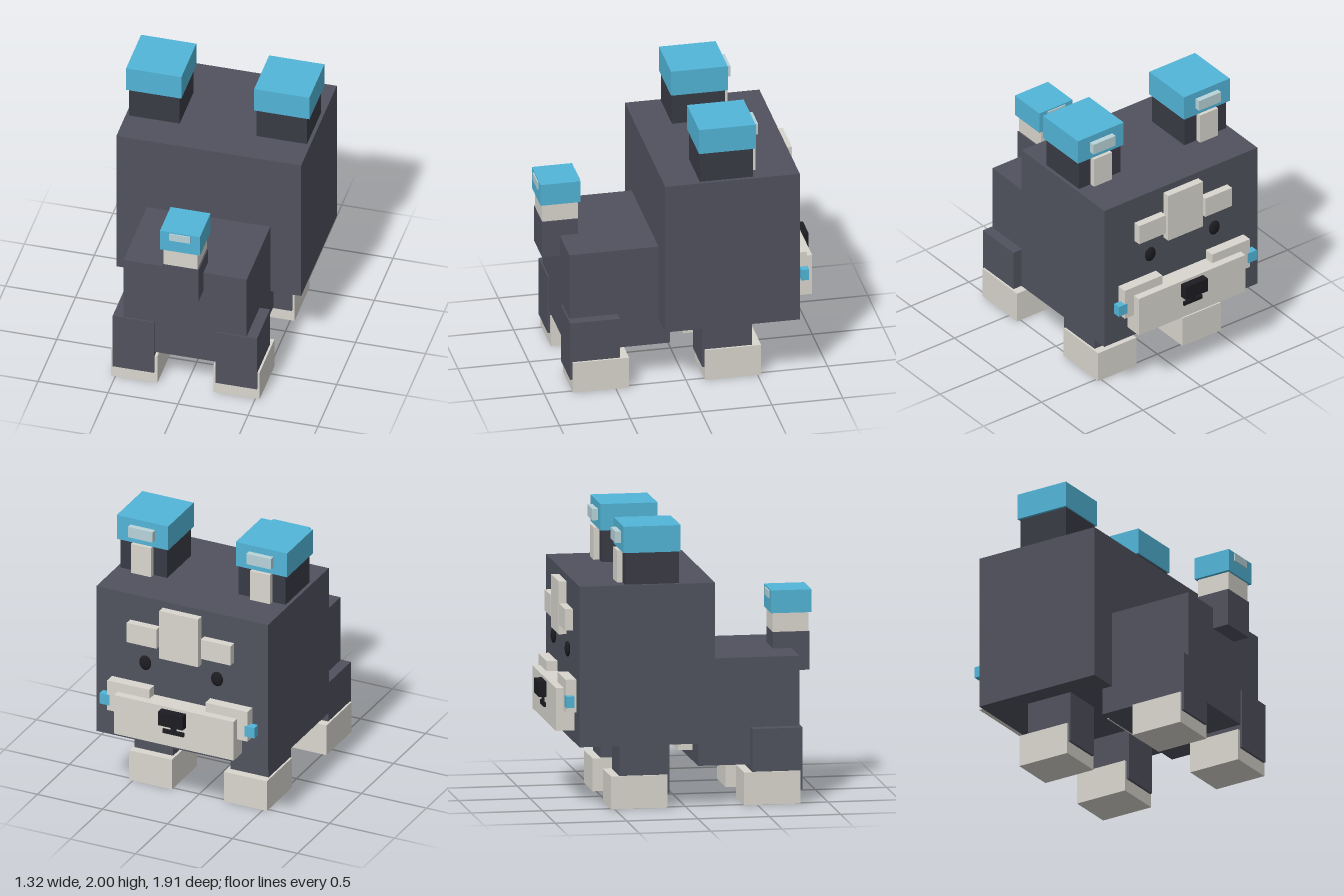
import * as THREE from 'three';

const mat = (color) => new THREE.MeshStandardMaterial({ color, flatShading: true });

export function createModel() {
  const model = new THREE.Group();
  const fur = mat(0x50525e), earFur = mat(0x393b45), cream = mat(0xd9d6ce);
  const blue = mat(0x52b5d8), paleBlue = mat(0xb8d4da), black = mat(0x1c1c22);

  // Box given by its min/max along each axis
  function box(name, material, [x0, x1], [y0, y1], [z0, z1], parent = model) {
    const mesh = new THREE.Mesh(new THREE.BoxGeometry(x1 - x0, y1 - y0, z1 - z0), material);
    mesh.position.set((x0 + x1) / 2, (y0 + y1) / 2, (z0 + z1) / 2);
    mesh.name = name;
    parent.add(mesh);
    return mesh;
  }

  // Left/right pair of boxes
  function pair(name, material, [x0, x1], y, z) {
    box('left' + name, material, [x0, x1], y, z);
    box('right' + name, material, [-x1, -x0], y, z);
  }

  // Head, body and chest
  box('head', fur, [-0.66, 0.66], [0.465, 1.59], [-0.77, 0.18]);
  box('body', fur, [-0.44, 0.44], [0.27, 1.02], [0.1, 0.81]);
  box('chestPatch', cream, [-0.22, 0.22], [0.345, 0.7], [0, 0.1]);

  // Ears with capped tips
  pair('Ear', earFur, [0.275, 0.635], [1.59, 1.815], [-0.445, -0.07]);
  pair('InnerEar', cream, [0.38, 0.535], [1.59, 1.815], [-0.485, -0.445]);
  pair('EarCap', blue, [0.26, 0.655], [1.815, 2], [-0.46, -0.06]);
  pair('EarCapTab', paleBlue, [0.36, 0.55], [1.87, 1.95], [-0.5, -0.46]);

  // Forehead and brows
  box('forehead', cream, [-0.15, 0.15], [1.17, 1.54], [-0.825, -0.77]);
  pair('Brow', cream, [0.17, 0.4], [1.24, 1.39], [-0.825, -0.77]);

  // Eyes
  for (const side of [1, -1]) {
    const eye = new THREE.Mesh(new THREE.SphereGeometry(1, 20, 14),
      new THREE.MeshStandardMaterial({ color: 0x1c1c22 }));
    eye.name = side > 0 ? 'leftEye' : 'rightEye';
    eye.scale.set(0.045, 0.055, 0.018);
    eye.position.set(side * 0.276, 1.09, -0.786);
    model.add(eye);
  }

  // Cheeks, muzzle, nose and mouth
  pair('Cheek', cream, [0.215, 0.54], [0.69, 0.92], [-0.845, -0.77]);
  pair('CheekStud', blue, [0.52, 0.595], [0.73, 0.81], [-0.85, -0.795]);
  box('muzzle', cream, [-0.46, 0.46], [0.55, 0.85], [-0.9, -0.77]);
  box('nose', black, [-0.095, 0.095], [0.725, 0.83], [-0.955, -0.9]);
  box('mouthStem', black, [-0.02, 0.02], [0.675, 0.725], [-0.915, -0.9]);
  box('mouth', black, [-0.08, 0.08], [0.65, 0.68], [-0.915, -0.9]);

  // Legs and feet, one set under the head and one under the body
  for (const [name, z] of [['Fore', -0.465], ['Hind', 0.467]]) {
    pair(name + 'Leg', fur, [0.22, 0.515], [0.095, 0.53], [z, z + 0.353]);
    pair(name + 'Foot', cream, [0.2, 0.53], [0, 0.23], [z - 0.06, z + 0.335]);
  }

  // Upright tail with capped tip
  box('tail', fur, [-0.13, 0.13], [0.865, 1.135], [0.68, 0.935]);
  box('tailBand', cream, [-0.12, 0.12], [1.135, 1.27], [0.68, 0.932]);
  box('tailCap', blue, [-0.143, 0.143], [1.27, 1.43], [0.665, 0.948]);
  box('tailCapTabs', paleBlue, [-0.075, 0.075], [1.365, 1.42], [0.657, 0.957]);

  return model;
}
